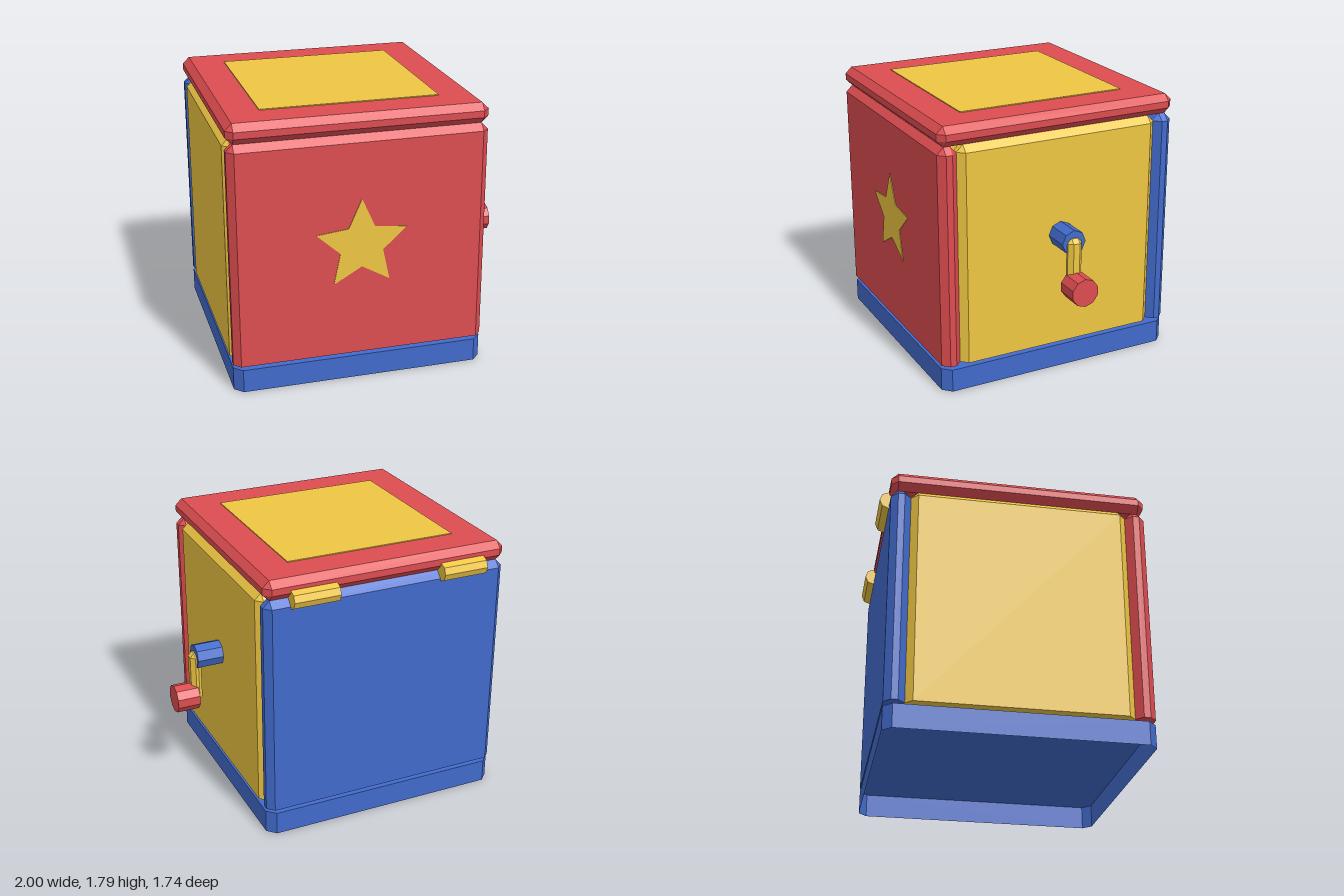
import * as THREE from 'three';
import { ConvexGeometry } from 'three/addons/geometries/ConvexGeometry.js';

const material = (color) => new THREE.MeshStandardMaterial({ color, flatShading: true, side: THREE.DoubleSide });
const red = material(0xdc4c50);
const blue = material(0x426acb);
const yellow = material(0xeec643);

// Outer limits of the box
const X0 = -1, X1 = 0.667, Z0 = -0.807, Z1 = 0.865;
const CX = (X0 + X1) / 2, CZ = (Z0 + Z1) / 2;

// Box with every edge chamfered; flatBottom keeps the lower rim square
function chamferBox(x0, x1, y0, y1, z0, z1, b, flatBottom = false) {
  const hx = (x1 - x0) / 2, hy = (y1 - y0) / 2, hz = (z1 - z0) / 2;
  const points = [];
  for (const sx of [-1, 1]) for (const sy of [-1, 1]) for (const sz of [-1, 1]) {
    const flat = flatBottom && sy < 0;
    const y = sy * (flat ? hy : hy - b);
    points.push(new THREE.Vector3(sx * hx, y, sz * (hz - b)));
    points.push(new THREE.Vector3(sx * (hx - b), y, sz * hz));
    if (!flat) points.push(new THREE.Vector3(sx * (hx - b), sy * hy, sz * (hz - b)));
  }
  return new ConvexGeometry(points).translate((x0 + x1) / 2, (y0 + y1) / 2, (z0 + z1) / 2);
}

// Cylinder lying along x, turned about its axis by spin
function rodX(x0, x1, y, z, radius, sides, spin = 0) {
  return new THREE.CylinderGeometry(radius, radius, x1 - x0, sides)
    .rotateY(spin)
    .rotateZ(Math.PI / 2)
    .translate((x0 + x1) / 2, y, z);
}

// Tray with cut corners, closed on top and open underneath
function trayGeometry(height, cut) {
  const hx = (X1 - X0) / 2, hz = (Z1 - Z0) / 2;
  const outline = [
    [hx, hz - cut], [hx, cut - hz], [hx - cut, -hz], [cut - hx, -hz],
    [-hx, cut - hz], [-hx, hz - cut], [cut - hx, hz], [hx - cut, hz],
  ];
  const positions = [];
  outline.forEach(([ax, az], i) => {
    const [bx, bz] = outline[(i + 1) % outline.length];
    positions.push(ax, 0, az, bx, 0, bz, bx, height, bz);
    positions.push(ax, 0, az, bx, height, bz, ax, height, az);
    positions.push(0, height, 0, ax, height, az, bx, height, bz);
  });
  const geometry = new THREE.BufferGeometry();
  geometry.setAttribute('position', new THREE.Float32BufferAttribute(positions, 3));
  geometry.computeVertexNormals();
  return geometry.translate(CX, 0, CZ);
}

function starGeometry(outer, inner, depth) {
  const shape = new THREE.Shape();
  for (let i = 0; i < 10; i++) {
    const r = i % 2 ? inner : outer;
    const a = Math.PI / 2 + (i * Math.PI) / 5;
    shape[i ? 'lineTo' : 'moveTo'](r * Math.cos(a), r * Math.sin(a));
  }
  return new THREE.ExtrudeGeometry(shape, { depth, bevelEnabled: false });
}

export function createModel() {
  const model = new THREE.Group();
  model.name = 'crankToyBox';
  const add = (name, geometry, mat, parent = model) => {
    const mesh = new THREE.Mesh(geometry, mat);
    mesh.name = name;
    parent.add(mesh);
    return mesh;
  };

  add('base', trayGeometry(0.155, 0.055), blue);

  // Four wall panels
  const bottom = 0.18, top = 1.65, thick = 0.13, b = 0.044;
  const panel = (x0, x1, z0, z1) => chamferBox(x0, x1, bottom, top, z0, z1, b, true);
  add('frontPanel', panel(X0, X1, Z1 - thick, Z1), red);
  add('backPanel', panel(X0, X1, Z0, Z0 + thick), blue);
  add('rightPanel', panel(X1 - thick, X1, Z0 + thick, Z1 - thick), yellow);
  add('leftPanel', panel(X0, X0 + thick, Z0 + thick, Z1 - thick), yellow);

  // Star on the front panel
  add('star', starGeometry(0.31, 0.146, 0.006), yellow).position.set(CX, 0.93, Z1 - 0.002);

  // Lid with its square inlay
  add('lid', chamferBox(X0, X1, 1.65, 1.782, Z0, Z1, b), red);
  add('lidInlay', new THREE.BoxGeometry(1.157, 0.012, 1.16).translate(CX, 1.782, CZ), yellow);

  // Two hinge barrels along the back edge
  for (const side of [-1, 1]) {
    const x = CX + side * 0.514;
    add('hinge', rodX(x - 0.154, x + 0.154, 1.652, Z0, 0.061, 8), yellow);
  }

  // Crank on the right side
  const crank = new THREE.Group();
  crank.name = 'crank';
  model.add(crank);
  add('crankHub', rodX(X1 - 0.02, 0.845, 0.96, CZ, 0.084, 8), blue, crank);
  add('crankArm', chamferBox(0.807, 0.882, 0.632, 0.992, CZ - 0.05, CZ + 0.05, 0.028), yellow, crank);
  add('crankKnob', rodX(0.845, 1, 0.672, CZ, 0.095, 10, Math.PI / 10), red, crank);

  return model;
}
